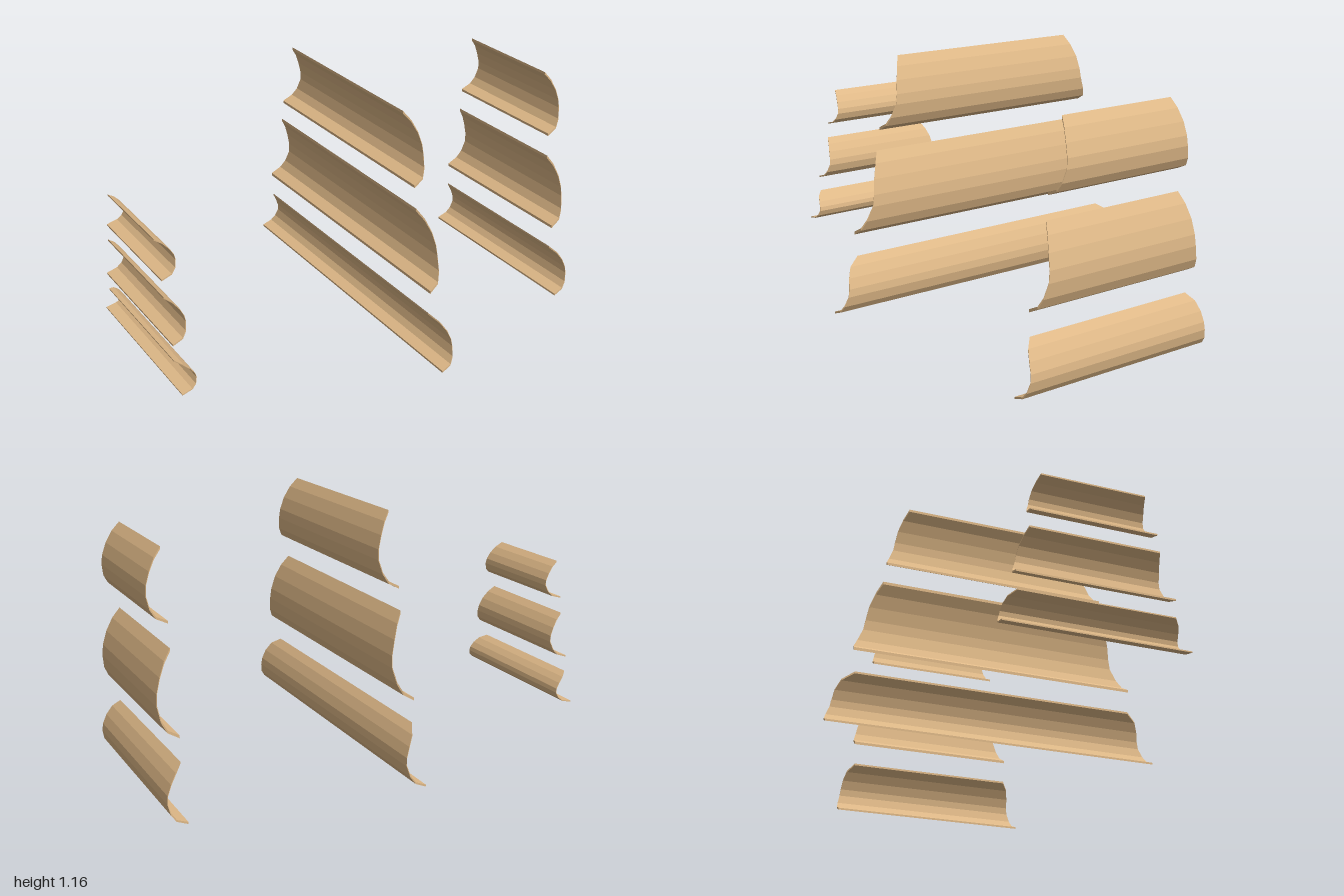
import * as THREE from 'three';

// Billowed sail section, head to foot: [bulge, height, share of the widening]
const PROFILE = [
  [0, 1, 0], [0.4, 0.87, 0.2], [0.73, 0.7, 0.38], [0.95, 0.52, 0.47],
  [1, 0.38, 0.54], [0.88, 0.2, 0.76], [0.62, 0.08, 0.93], [0, 0, 1],
];

// Thin flat-shaded shell: outer skin, inner skin, rims and end edges
function sailGeometry({ x, depth, bottom, top, head, foot, flare }) {
  const h = top - bottom;
  const skin = (sx, sy) => PROFILE.map(([u, v, d]) => ({
    x: x + depth * u * sx,
    y: bottom + h * (0.5 + (v - 0.5) * sy),
    w: head + (foot - head) * Math.pow(d, flare),
  }));
  const outer = skin(1, 1);
  const inner = skin(0.975, 0.925);
  const ring = [...outer, ...inner.slice().reverse()];
  const pos = [];
  const at = (p, side) => [p.x, p.y, p.w * side];
  const quad = (a, b, c, d) => pos.push(...a, ...b, ...c, ...a, ...c, ...d);

  ring.forEach((p, i) => {
    const q = ring[(i + 1) % ring.length];
    quad(at(p, 1), at(q, 1), at(q, -1), at(p, -1));
  });
  for (let i = 0; i < PROFILE.length - 1; i++) {
    const [a, b, c, d] = [outer[i], inner[i], inner[i + 1], outer[i + 1]];
    quad(at(a, 1), at(b, 1), at(c, 1), at(d, 1));
    quad(at(d, -1), at(c, -1), at(b, -1), at(a, -1));
  }
  const geo = new THREE.BufferGeometry();
  geo.setAttribute('position', new THREE.Float32BufferAttribute(pos, 3));
  geo.computeVertexNormals();
  return geo;
}

// Three masts' worth of sails: [bottom, top, half width at head, at foot]
const MASTS = [
  { name: 'aftSails', x: -1, depth: 0.075, sails: [
    [0.155, 0.29, 0.32, 0.38], [0.36, 0.56, 0.27, 0.325], [0.63, 0.797, 0.22, 0.265]] },
  { name: 'mainSails', x: 0.017, depth: 0.072, sails: [
    [0.09, 0.327, 0.64, 0.755], [0.425, 0.773, 0.535, 0.65], [0.86, 1.165, 0.427, 0.52]] },
  { name: 'foreSails', x: 0.922, depth: 0.077, sails: [
    [0, 0.24, 0.39, 0.457], [0.34, 0.688, 0.323, 0.395], [0.785, 1.078, 0.26, 0.317]] },
];
const LEVELS = ['lowerSail', 'middleSail', 'upperSail'];

export function createModel() {
  const model = new THREE.Group();
  model.name = 'sails';
  const cloth = new THREE.MeshStandardMaterial({ color: 0xdeb887, flatShading: true });
  for (const { name, x, depth, sails } of MASTS) {
    const group = new THREE.Group();
    group.name = name;
    sails.forEach(([bottom, top, head, foot], i) => {
      // The lowest sail of each mast widens sooner below its head
      const flare = i === 0 ? 0.52 : 1;
      const mesh = new THREE.Mesh(sailGeometry({ x, depth, bottom, top, head, foot, flare }), cloth);
      mesh.name = LEVELS[i];
      group.add(mesh);
    });
    model.add(group);
  }
  return model;
}
